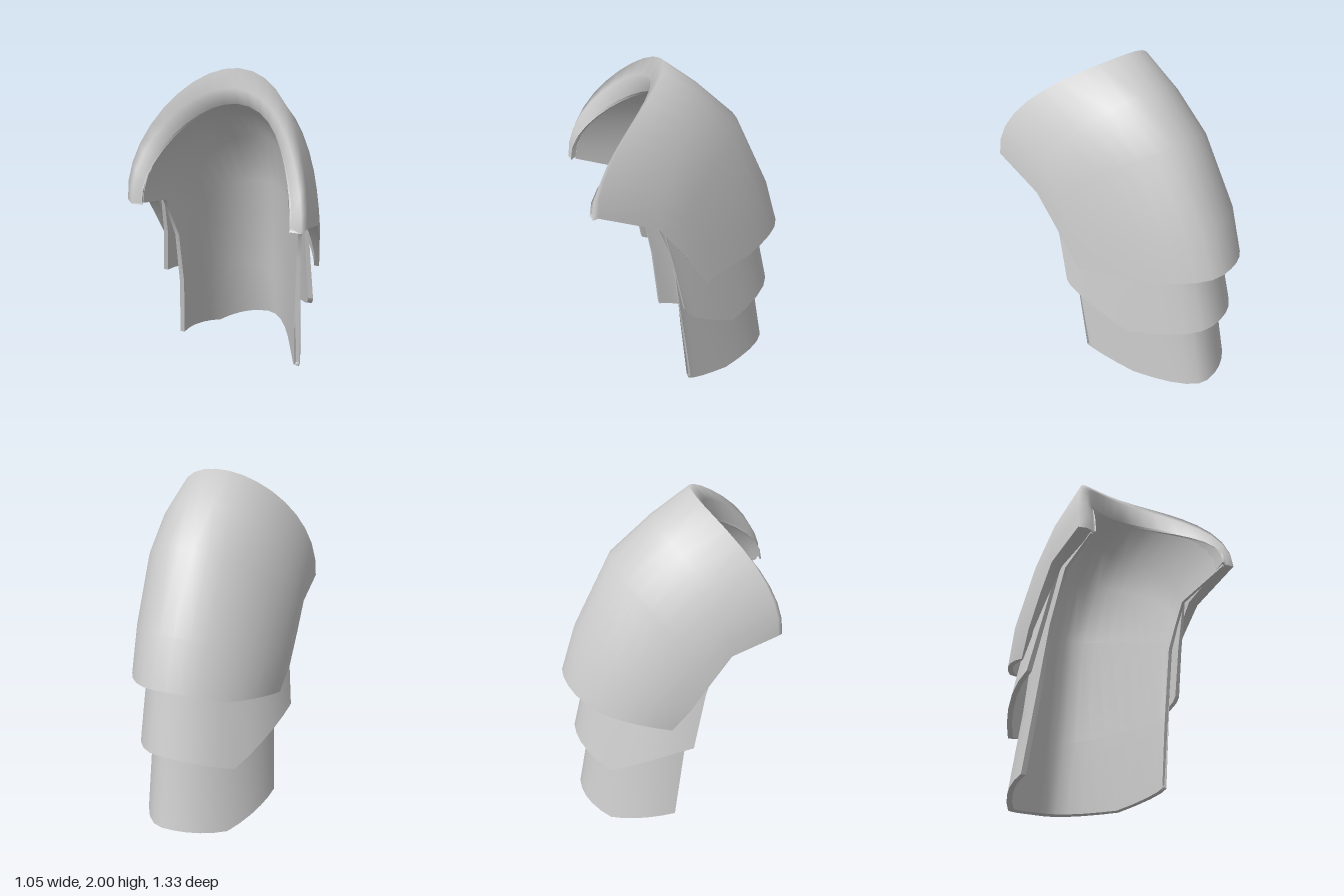
import * as THREE from 'three';
import { mergeGeometries } from 'three/addons/utils/BufferGeometryUtils.js';

const STEPS = 20; // segments across each arch

// Arch from the -x end over the back ridge to the +x end.
// Each end is [x, y, z, round, dip]: round makes that flank fuller, dip lowers its middle.
function arch(apexY, apexZ, plus, minus, inset = 0) {
  const pts = [];
  for (let j = 0; j <= STEPS; j++) {
    const u = (j / STEPS) * 2 - 1;
    const t = Math.abs(u) * Math.PI / 2;
    const [x, y, z, round = 0, dip = 0] = u < 0 ? minus : plus;
    const rise = 1 - Math.cos(t);
    const f = Math.sin(t) ** 2;
    pts.push(new THREE.Vector3(
      Math.sign(u) * (Math.abs(x) - inset) * Math.sin(t),
      apexY + (y - apexY) * rise - dip * (1 - Math.abs(2 * f - 1)),
      apexZ + (z - apexZ) * (f + (rise - f) * round)
    ));
  }
  return pts;
}

// Smooth surface through rows of points
function grid(rows) {
  const cols = rows[0].length;
  const pos = [], index = [];
  rows.forEach(r => r.forEach(p => pos.push(p.x, p.y, p.z)));
  for (let i = 0; i < rows.length - 1; i++) {
    for (let j = 0; j < cols - 1; j++) {
      const a = i * cols + j, c = a + cols;
      index.push(a, a + 1, c, a + 1, c + 1, c);
    }
  }
  const g = new THREE.BufferGeometry();
  g.setAttribute('position', new THREE.Float32BufferAttribute(pos, 3));
  g.setIndex(index);
  g.computeVertexNormals();
  return g;
}

// Plate with thickness: outer skin, inner skin, rims and side edges
function plate(name, rows, material) {
  const outer = rows.map(r => arch(...r.apex, r.plus, r.minus));
  const inner = rows.map(r => arch(...r.inner, r.plus, r.minus, r.inset));
  const n = rows.length - 1;
  const geometry = mergeGeometries([
    grid(outer),
    grid([...inner].reverse()),
    grid([outer[n], inner[n]]),
    grid([inner[0], outer[0]]),
    grid(outer.map((o, i) => [o[STEPS], inner[i][STEPS]])),
    grid(outer.map((o, i) => [inner[i][0], o[0]]))
  ]);
  const mesh = new THREE.Mesh(geometry, material);
  mesh.name = name;
  return mesh;
}

export function createModel() {
  const metal = new THREE.MeshStandardMaterial({ color: 0xcccccc, side: THREE.DoubleSide });
  metal.name = 'plain grey';

  // Large hood with a rolled front lip
  const shoulderCap = [
    { apex: [1.81, 0.12], inner: [1.80, 0.10], plus: [0.45, 1.36, 0.65], minus: [-0.42, 1.33, 0.52], inset: 0.01 },
    { apex: [1.91, 0.175], inner: [1.80, 0.08], plus: [0.50, 1.36, 0.66], minus: [-0.47, 1.33, 0.53], inset: 0.06 },
    { apex: [2.00, 0.10], inner: [1.80, 0.02], plus: [0.525, 1.38, 0.64], minus: [-0.505, 1.34, 0.50], inset: 0.09 },
    { apex: [1.85, -0.11], inner: [1.73, -0.10], plus: [0.515, 1.25, 0.32], minus: [-0.515, 1.24, 0.25, 0.25], inset: 0.07 },
    { apex: [1.64, -0.35], inner: [1.56, -0.30], plus: [0.505, 1.10, 0.20], minus: [-0.52, 1.08, 0.14, 0.6], inset: 0.05 },
    { apex: [1.20, -0.575], inner: [1.18, -0.53], plus: [0.49, 0.95, 0.10], minus: [-0.52, 0.91, 0.03, 1], inset: 0.03 },
    { apex: [0.92, -0.665], inner: [0.92, -0.63], plus: [0.475, 0.83, 0.02, 0, 0.03], minus: [-0.50, 0.77, -0.07, 1, 0.03], inset: 0.03 }
  ];

  // Middle lame, pointed at the lower sides
  const middleLame = [
    { apex: [1.00, -0.50], inner: [1.00, -0.48], plus: [0.45, 1.26, 0.28], minus: [-0.45, 1.24, 0.20, 0.9], inset: 0.02 },
    { apex: [0.87, -0.53], inner: [0.87, -0.505], plus: [0.46, 0.97, 0.21, 0, 0.05], minus: [-0.48, 0.97, 0.12, 1, 0.05], inset: 0.025 },
    { apex: [0.50, -0.62], inner: [0.50, -0.59], plus: [0.475, 0.68, 0.15, 0, 0.13], minus: [-0.53, 0.65, 0.05, 1, 0.13], inset: 0.03 }
  ];

  // Lowest lame, running up inside the others as the lining of the hood
  const lowerLame = [
    { apex: [1.82, 0.11], inner: [1.805, 0.11], plus: [0.455, 1.36, 0.63], minus: [-0.425, 1.33, 0.50], inset: 0.012 },
    { apex: [1.72, -0.09], inner: [1.70, -0.08], plus: [0.425, 1.25, 0.30], minus: [-0.42, 1.24, 0.24, 0.25], inset: 0.02 },
    { apex: [1.52, -0.28], inner: [1.51, -0.26], plus: [0.41, 1.10, 0.24], minus: [-0.42, 1.08, 0.16, 0.6], inset: 0.02 },
    { apex: [1.15, -0.44], inner: [1.15, -0.42], plus: [0.40, 0.96, 0.19], minus: [-0.42, 0.94, 0.09, 0.9], inset: 0.025 },
    { apex: [0.47, -0.53], inner: [0.47, -0.50], plus: [0.40, 0.55, 0.135, -0.2], minus: [-0.44, 0.55, 0.01, 0.9], inset: 0.03 },
    { apex: [0.03, -0.615], inner: [0.04, -0.58], plus: [0.40, 0.14, 0.08, -0.3, 0.04], minus: [-0.48, 0.11, -0.05, 0.9, 0.055], inset: 0.03 }
  ];

  const group = new THREE.Group();
  group.name = 'shoulderArmour';
  group.add(
    plate('shoulderCap', shoulderCap, metal),
    plate('middleLame', middleLame, metal),
    plate('lowerLame', lowerLame, metal)
  );
  return group;
}
